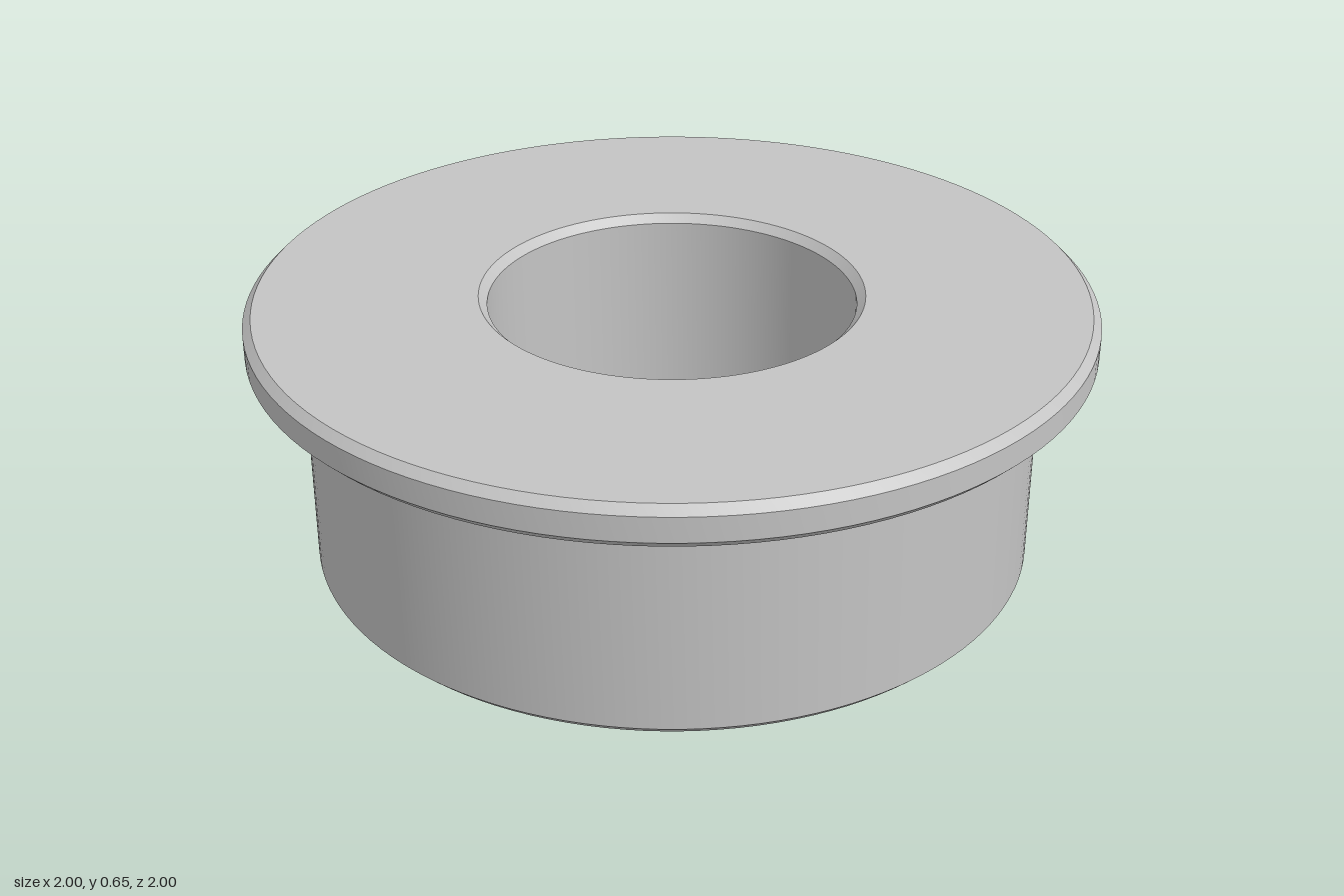
import * as THREE from 'three';
import { toCreasedNormals } from 'three/addons/utils/BufferGeometryUtils.js';

const BORE = 0.435, BODY = 0.87, RIM = 1;      // radii
const SHOULDER = 0.55, TOP = 0.65, C = 0.02;   // heights and chamfer size

export function createModel() {
  const steel = new THREE.MeshStandardMaterial({ color: 0xc4c4c4 });
  steel.name = 'steel grey';
  const group = new THREE.Group();
  group.name = 'flangedBushing';

  // Revolve a [radius, height] profile, keeping chamfer edges sharp
  const turn = (name, profile) => {
    const points = profile.map(([r, y]) => new THREE.Vector2(r, y));
    const geometry = toCreasedNormals(new THREE.LatheGeometry(points, 128), Math.PI / 6);
    const mesh = new THREE.Mesh(geometry, steel);
    mesh.name = name;
    group.add(mesh);
  };

  // Bottom face, chamfer and outer wall
  turn('sleeve', [[BORE + C, 0], [BODY - C, 0], [BODY, C], [BODY, SHOULDER]]);

  // Shoulder underside, chamfered rim and top face
  turn('flange', [
    [BODY, SHOULDER], [RIM - C, SHOULDER], [RIM, SHOULDER + C],
    [RIM, TOP - C], [RIM - C, TOP], [BORE + C, TOP],
  ]);

  // Through hole with a chamfer at each mouth
  turn('bore', [[BORE + C, TOP], [BORE, TOP - C], [BORE, C], [BORE + C, 0]]);

  return group;
}
